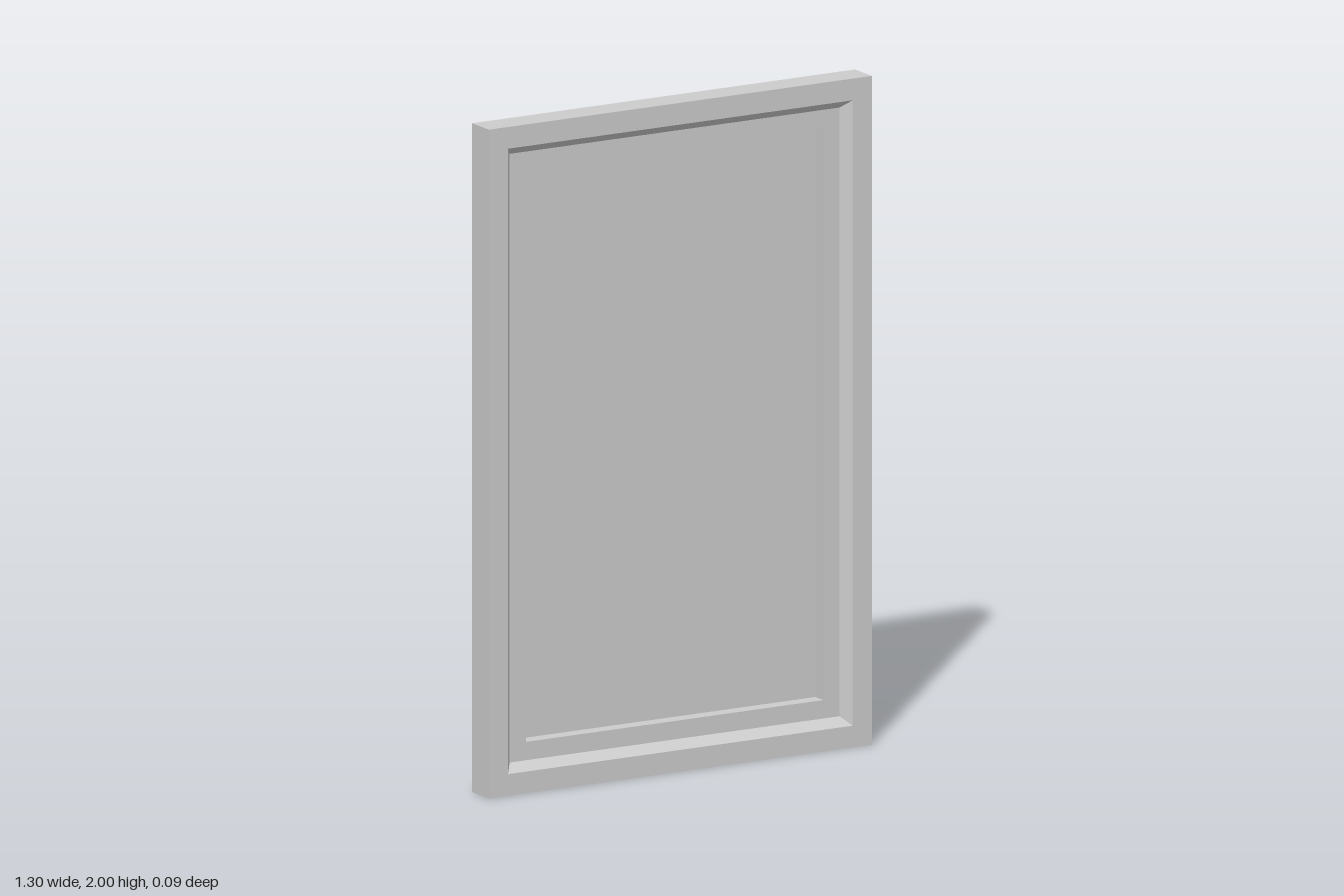
import * as THREE from 'three';

const W = 1.3, H = 2, Z = 0.047; // door width, height, half thickness
const LEDGE_Z = 0.015, PANEL_Z = -0.03;

// Corners of a rectangle inset from the door's outline, counter-clockwise from the front
function ring(inset, z) {
  const x = W / 2 - inset, lo = inset, hi = H - inset;
  return [[-x, lo, z], [x, lo, z], [x, hi, z], [-x, hi, z]];
}

// Skin successive rings with mitred quads; optionally close either end
function loft(name, rings, { capStart = false, capEnd = false } = {}) {
  const pos = [];
  const quad = (a, b, c, d) => pos.push(...a, ...b, ...c, ...a, ...c, ...d);
  for (let r = 0; r < rings.length - 1; r++) {
    const p = rings[r], q = rings[r + 1];
    for (let i = 0; i < 4; i++) {
      const j = (i + 1) % 4;
      quad(p[i], p[j], q[j], q[i]);
    }
  }
  if (capStart) quad(...[...rings[0]].reverse());
  if (capEnd) quad(...rings[rings.length - 1]);
  const geometry = new THREE.BufferGeometry();
  geometry.setAttribute('position', new THREE.Float32BufferAttribute(pos, 3));
  geometry.computeVertexNormals();
  const mesh = new THREE.Mesh(geometry, new THREE.MeshStandardMaterial({ color: 0xcccccc, flatShading: true }));
  mesh.name = name;
  return mesh;
}

export function createModel() {
  const door = new THREE.Group();
  door.name = 'panelDoor';
  door.add(
    // Back, outer edges and flat front border
    loft('outerFrame', [ring(0, -Z), ring(0, Z), ring(0.065, Z)], { capStart: true }),
    // Sloped moulding, flat ledge and square step
    loft('innerMoulding', [ring(0.065, Z), ring(0.09, LEDGE_Z), ring(0.145, LEDGE_Z), ring(0.145, PANEL_Z)]),
    // Recessed centre panel
    loft('centrePanel', [ring(0.145, PANEL_Z)], { capEnd: true }),
  );
  return door;
}
